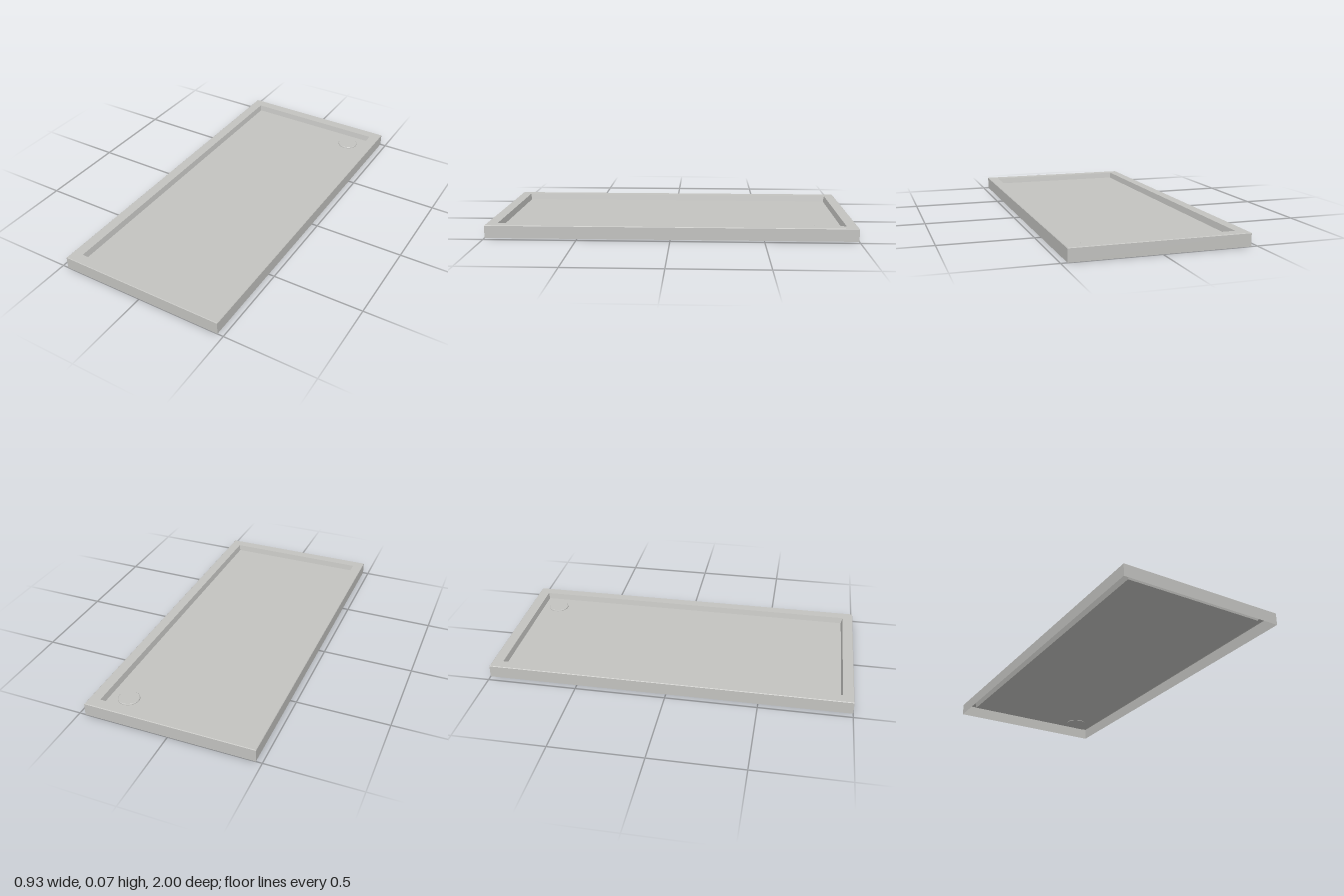
import * as THREE from 'three';

const stone = new THREE.MeshStandardMaterial({ color: 0xc3c3c0, side: THREE.DoubleSide });
stone.name = 'light grey';

// Joins concentric rectangles [halfX, halfZ, y] into flat-faced bands
function rectangleBands(rings) {
  const corners = [[1, 1], [1, -1], [-1, -1], [-1, 1]];
  const pos = [];
  const point = ([hx, hz, y], i) => {
    const [sx, sz] = corners[i % 4];
    return [sx * hx, y, sz * hz];
  };
  for (let r = 0; r < rings.length - 1; r++) {
    for (let i = 0; i < 4; i++) {
      const a = point(rings[r], i), b = point(rings[r], i + 1);
      const c = point(rings[r + 1], i + 1), d = point(rings[r + 1], i);
      pos.push(...a, ...b, ...c, ...a, ...c, ...d);
    }
  }
  const geo = new THREE.BufferGeometry();
  geo.setAttribute('position', new THREE.Float32BufferAttribute(pos, 3));
  geo.computeVertexNormals();
  return geo;
}

export function createModel() {
  const group = new THREE.Group();
  group.name = 'showerTray';
  const add = (name, geo) => {
    const mesh = new THREE.Mesh(geo, stone);
    mesh.name = name;
    group.add(mesh);
    return mesh;
  };

  const floorY = 0.037;

  // Thin outer skirt, open underneath, with a softened top edge
  add('skirt', rectangleBands([[0.467, 1, 0], [0.467, 1, 0.067], [0.464, 0.997, 0.07]]));

  // Flat rim and the short sloping step down to the floor
  add('rim', rectangleBands([[0.464, 0.997, 0.07], [0.408, 0.94, 0.07]]));
  add('basinStep', rectangleBands([[0.408, 0.94, 0.07], [0.401, 0.933, floorY]]));

  // Standing floor
  const floor = add('floor', new THREE.PlaneGeometry(0.802, 1.866).rotateX(-Math.PI / 2));
  floor.position.y = floorY;

  // Round drain cover with a small chamfer, passing just through the floor
  const profile = [[0, -0.003], [0.058, -0.003], [0.058, 0.004], [0.055, 0.007], [0, 0.007]]
    .map(([x, y]) => new THREE.Vector2(x, y));
  const flat = new THREE.LatheGeometry(profile, 40).toNonIndexed();
  flat.computeVertexNormals();
  const drain = add('drainCover', flat);
  drain.position.set(0.3, floorY, -0.84);

  return group;
}
